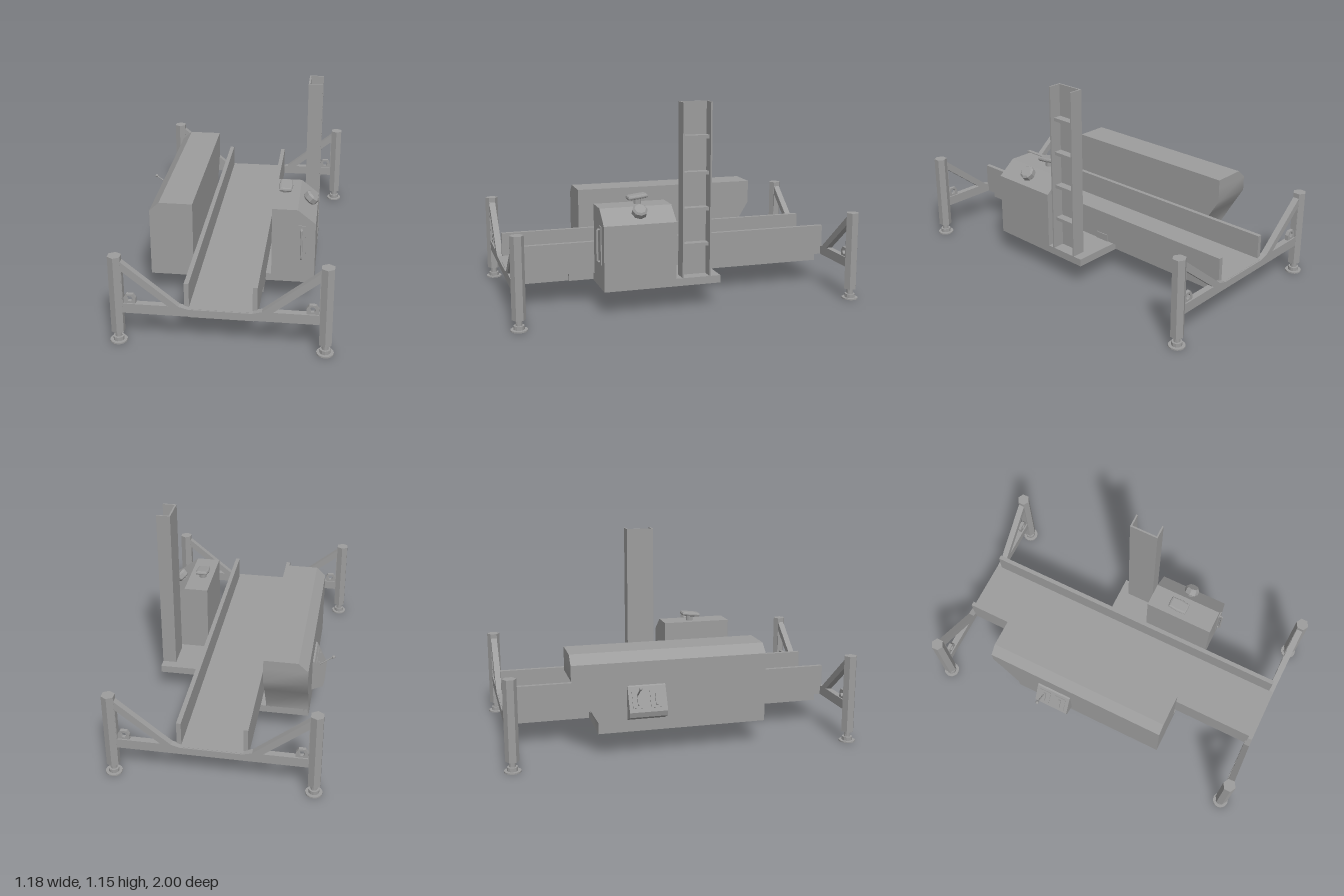
import * as THREE from 'three';
import { toCreasedNormals } from 'three/addons/utils/BufferGeometryUtils.js';

const color = 0x9c9c9c;
const mat = new THREE.MeshStandardMaterial({ color, flatShading: true, side: THREE.DoubleSide });
const smoothMat = new THREE.MeshStandardMaterial({ color, side: THREE.DoubleSide });

function add(parent, name, geo, x = 0, y = 0, z = 0, material = mat) {
  const m = new THREE.Mesh(geo, material);
  m.name = name;
  m.position.set(x, y, z);
  parent.add(m);
  return m;
}

// Box given by its limits on each axis
function block(parent, name, x0, x1, y0, y1, z0, z1) {
  return add(parent, name, new THREE.BoxGeometry(x1 - x0, y1 - y0, z1 - z0),
    (x0 + x1) / 2, (y0 + y1) / 2, (z0 + z1) / 2);
}

function polygon(points, holes = []) {
  const shape = new THREE.Shape(points.map(p => new THREE.Vector2(...p)));
  for (const h of holes) shape.holes.push(new THREE.Path(h.map(p => new THREE.Vector2(...p))));
  return shape;
}

// Outline in x,y extruded from z0 to z1
function extrudeZ(points, z0, z1, holes) {
  const geo = new THREE.ExtrudeGeometry(polygon(points, holes), { depth: z1 - z0, bevelEnabled: false });
  return geo.translate(0, 0, z0);
}

// Outline in z,y extruded from x0 to x1
function extrudeX(points, x0, x1) {
  return extrudeZ(points.map(([z, y]) => [-z, y]), x0, x1).rotateY(Math.PI / 2);
}

// Six-sided post on a screw foot
function supportLeg(x, z) {
  const g = new THREE.Group();
  g.name = 'supportLeg';
  g.position.set(x, 0, z);
  add(g, 'post', new THREE.CylinderGeometry(0.0375, 0.0375, 0.445, 6), 0, 0.2825);
  add(g, 'footStem', new THREE.CylinderGeometry(0.018, 0.018, 0.05, 12), 0, 0.045);
  add(g, 'footCollar', new THREE.CylinderGeometry(0.029, 0.029, 0.022, 12), 0, 0.018);
  add(g, 'footPlate', new THREE.CylinderGeometry(0.046, 0.046, 0.008, 16), 0, 0.004);
  return g;
}

// Cross beam with braces, lifting lugs and two legs
function endFrame(z) {
  const g = new THREE.Group();
  g.name = 'endFrame';
  g.position.z = z;
  const half = [[0.165, 0.221], [0.215, 0.235], [0.515, 0.482], [0.515, 0.18]];
  const outline = [...half, ...half.map(([x, y]) => [-x, y]).reverse()];
  const gap = [[0.272, 0.235], [0.505, 0.235], [0.505, 0.423]];
  add(g, 'bracedBeam', extrudeZ(outline, -0.018, 0.018, [gap, gap.map(([x, y]) => [-x, y])]));
  const eye = [0, 1, 2, 3, 4, 5].map(i => [
    0.472 + 0.017 * Math.cos(i * Math.PI / 3), 0.261 + 0.017 * Math.sin(i * Math.PI / 3)]);
  const lug = [[0.44, 0.235], [0.504, 0.235], [0.504, 0.265], [0.49, 0.287], [0.454, 0.287], [0.44, 0.265]];
  for (const s of [1, -1]) {
    add(g, 'liftingLug', extrudeZ(lug.map(([x, y]) => [s * x, y]), -0.01, 0.01,
      [eye.map(([x, y]) => [s * x, y])]));
    g.add(supportLeg(0.542 * s, 0));
  }
  return g;
}

function ladder() {
  const g = new THREE.Group();
  g.name = 'ladderMast';
  block(g, 'web', 0.38, 0.39, 0.18, 1.15, -0.13, 0.037);
  block(g, 'rearFlange', 0.38, 0.46, 0.18, 1.15, -0.13, -0.121);
  block(g, 'frontFlange', 0.38, 0.46, 0.18, 1.15, 0.028, 0.037);
  for (let i = 0; i < 4; i++) {
    const y = 0.36 + 0.2 * i;
    block(g, 'rung', 0.39, 0.437, y - 0.011, y + 0.008, -0.122, 0.029);
  }
  return g;
}

function tank() {
  const g = new THREE.Group();
  g.name = 'tank';
  add(g, 'tankBody', extrudeZ([[0.22, 0.18], [0.46, 0.18], [0.46, 0.5], [0.36, 0.58], [0.22, 0.58]], 0.072, 0.48));

  // Breather with a domed, slightly tilted lid
  add(g, 'breatherNeck', new THREE.CylinderGeometry(0.022, 0.022, 0.035, 12), 0.28, 0.595, 0.245);
  const lidGeo = new THREE.ExtrudeGeometry(
    polygon([[-0.024, -0.045], [0, -0.047], [0.024, -0.045], [0.028, 0], [0.024, 0.045], [0, 0.047], [-0.024, 0.045], [-0.028, 0]]),
    { depth: 0.004, bevelThickness: 0.01, bevelSize: 0.011, bevelSegments: 2 });
  const lid = add(g, 'breatherLid', lidGeo.rotateX(-Math.PI / 2), 0.28, 0.618, 0.248);
  lid.rotation.x = 0.12;

  // Filler cap standing square to the sloping face
  const filler = new THREE.Group();
  filler.name = 'fillerCap';
  filler.position.set(0.407, 0.542, 0.272);
  filler.rotation.z = -Math.atan2(0.08, 0.1);
  add(filler, 'fillerNeck', new THREE.CylinderGeometry(0.028, 0.028, 0.03, 12), 0, 0, 0);
  add(filler, 'capBase', new THREE.CylinderGeometry(0.043, 0.032, 0.01, 8), 0, 0.01, 0);
  add(filler, 'capGrip', new THREE.CylinderGeometry(0.043, 0.043, 0.028, 8), 0, 0.029, 0);
  add(filler, 'capTop', new THREE.CylinderGeometry(0.032, 0.043, 0.01, 8), 0, 0.048, 0);
  g.add(filler);

  // Sight gauge on the front face
  block(g, 'gaugePlate', 0.365, 0.407, 0.275, 0.488, 0.478, 0.486);
  const path = new THREE.CurvePath();
  const pts = [[0.475, 0.292], [0.5, 0.292], [0.5, 0.47], [0.475, 0.47]].map(([z, y]) => new THREE.Vector3(0.385, y, z));
  for (let i = 0; i < 3; i++) path.add(new THREE.LineCurve3(pts[i], pts[i + 1]));
  add(g, 'gaugeTube', new THREE.TubeGeometry(path, 30, 0.006, 8));
  return g;
}

function powerHousing() {
  const g = new THREE.Group();
  g.name = 'powerHousing';
  // Long cabinet with a softly undercut back end; its outer top edge is bevelled
  const body = extrudeX([[0.475, 0.14], [0.475, 0.53], [-0.625, 0.53], [-0.625, 0.445], [-0.57, 0.355], [-0.48, 0.2], [-0.48, 0.14]], -0.462, -0.22);
  add(g, 'cabinet', toCreasedNormals(body, 0.65), 0, 0, 0, smoothMat);
  add(g, 'cabinetTop', extrudeZ([[-0.462, 0.53], [-0.22, 0.53], [-0.22, 0.58], [-0.408, 0.58]], -0.625, 0.475));

  // Sloping control box with two panels, switch bars and a lever
  const wedge = [[-0.46, 0.4], [-0.472, 0.394], [-0.532, 0.265], [-0.524, 0.235], [-0.46, 0.205]];
  add(g, 'controlBox', extrudeZ(wedge, -0.32, -0.108));
  const slope = Math.atan2(0.06, 0.129);
  for (const z of [-0.265, -0.165]) {
    const panel = add(g, 'controlPanel', new THREE.BoxGeometry(0.008, 0.1, 0.07), -0.502, 0.331, z);
    panel.rotation.z = -slope;
    const bar = add(g, 'switchBar', new THREE.BoxGeometry(0.012, 0.07, 0.016), -0.508, 0.333, z);
    bar.rotation.z = -slope;
  }
  const lever = new THREE.LineCurve3(new THREE.Vector3(-0.495, 0.35, -0.27), new THREE.Vector3(-0.575, 0.41, -0.27));
  add(g, 'lever', new THREE.TubeGeometry(lever, 1, 0.004, 8));
  add(g, 'leverKnob', new THREE.SphereGeometry(0.01, 10, 8), -0.575, 0.41, -0.27);
  return g;
}

export function createModel() {
  const model = new THREE.Group();
  model.name = 'liftingPlatform';

  // Central deck on a shorter underframe that fits between the end beams
  block(model, 'deck', -0.168, 0.168, 0.18, 0.222, -0.965, 0.965);
  block(model, 'underframe', -0.168, 0.168, 0.137, 0.18, -0.91, 0.91);
  for (const [a, b] of [[0.165, 0.19], [-0.19, -0.165]]) {
    block(model, 'sideRail', a, b, 0.18, 0.357, -0.945, 0.945);
  }

  // Outrigger platforms for the equipment
  block(model, 'tankPlatform', 0.16, 0.46, 0.137, 0.18, -0.185, 0.48);
  block(model, 'housingPlatform', -0.46, -0.16, 0.137, 0.18, -0.48, 0.475);
  block(model, 'platformGusset', 0.165, 0.19, 0.14, 0.18, 0.47, 0.62);
  block(model, 'railStop', 0.19, 0.195, 0.18, 0.22, -0.14, -0.055);

  model.add(endFrame(0.955), endFrame(-0.955), ladder(), tank(), powerHousing());
  return model;
}
